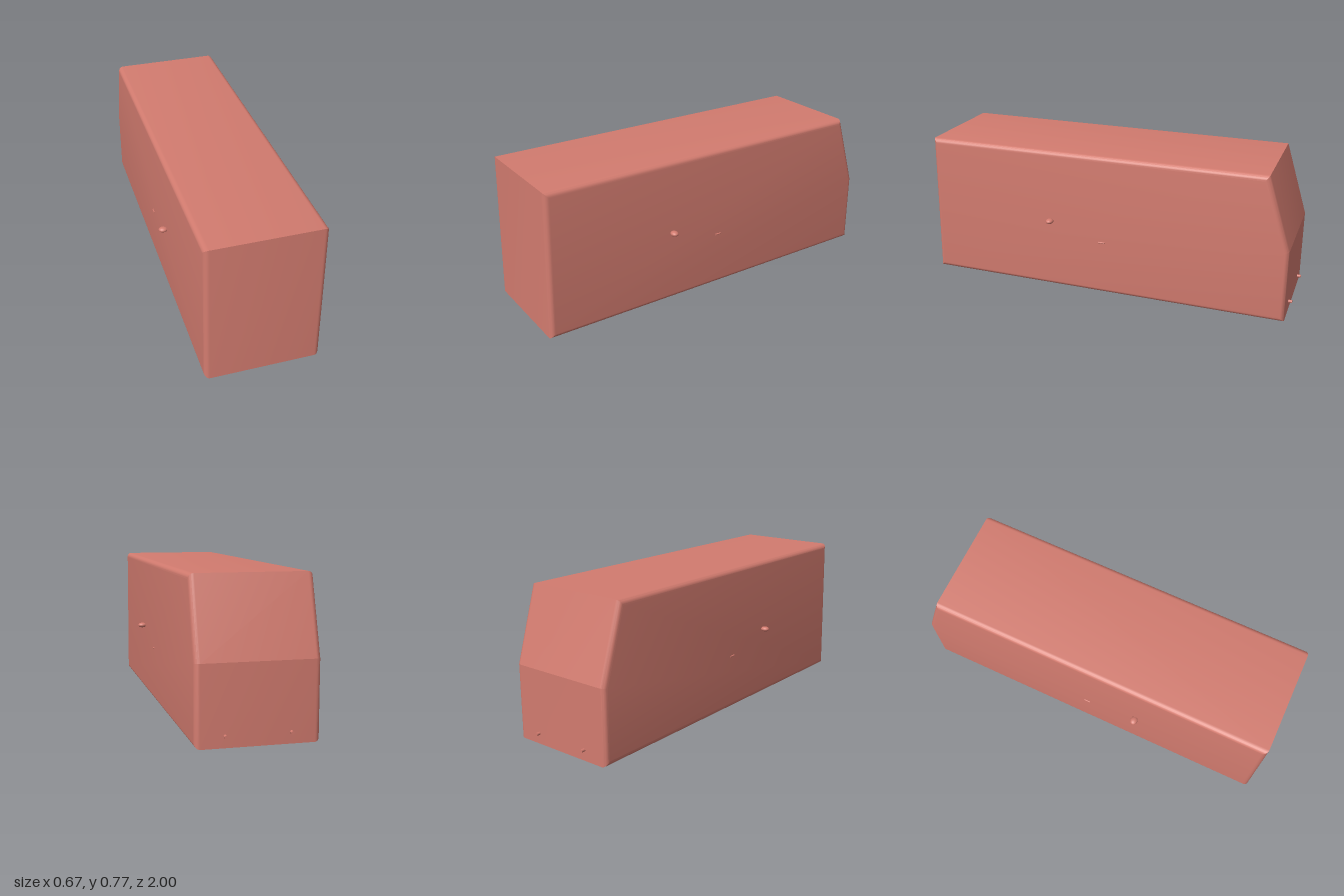
import * as THREE from 'three';
import { toCreasedNormals } from 'three/addons/utils/BufferGeometryUtils.js';

export function createModel() {
  const group = new THREE.Group();
  const paint = new THREE.MeshStandardMaterial({ color: 0xd27b6f });
  paint.name = 'clay red';

  const add = (name, geometry, x, y, z) => {
    const mesh = new THREE.Mesh(geometry, paint);
    mesh.name = name;
    mesh.position.set(x, y, z);
    group.add(mesh);
    return mesh;
  };

  // Body: side profile (z, y) extruded across the width, with rounded side edges
  const profile = new THREE.Shape(
    [[1, 0], [0.98, 0.77], [-0.86, 0.77], [-0.98, 0.385], [-0.98, 0]]
      .reverse().map(([z, y]) => new THREE.Vector2(z, y)));
  const halfWidth = 0.295, round = 0.027;
  const body = new THREE.ExtrudeGeometry(profile, {
    depth: 2 * (halfWidth - round),
    bevelEnabled: true, bevelSize: round, bevelThickness: round,
    bevelOffset: -round, bevelSegments: 6,
  });
  body.translate(0, 0, -(halfWidth - round));
  body.rotateY(-Math.PI / 2);
  add('body', toCreasedNormals(body, 0.29), 0, 0, 0);

  for (const side of [1, -1]) {
    const label = side > 0 ? 'left' : 'right';

    // Side mirror: a small egg-shaped knob
    add(label + 'Mirror', new THREE.SphereGeometry(1, 20, 14), side * 0.312, 0.385, 0.29)
      .scale.set(0.024, 0.0135, 0.02);

    // Door handle: a thin rod half sunk in the side
    add(label + 'Handle', new THREE.CylinderGeometry(0.0045, 0.0045, 0.034, 12), side * 0.295, 0.295, 0)
      .rotation.x = Math.PI / 2;

    // Exhaust pipe at the back
    add(label + 'Exhaust', new THREE.CylinderGeometry(0.008, 0.008, 0.04, 16), side * 0.155, 0.055, -0.98)
      .rotation.x = Math.PI / 2;
  }
  return group;
}
